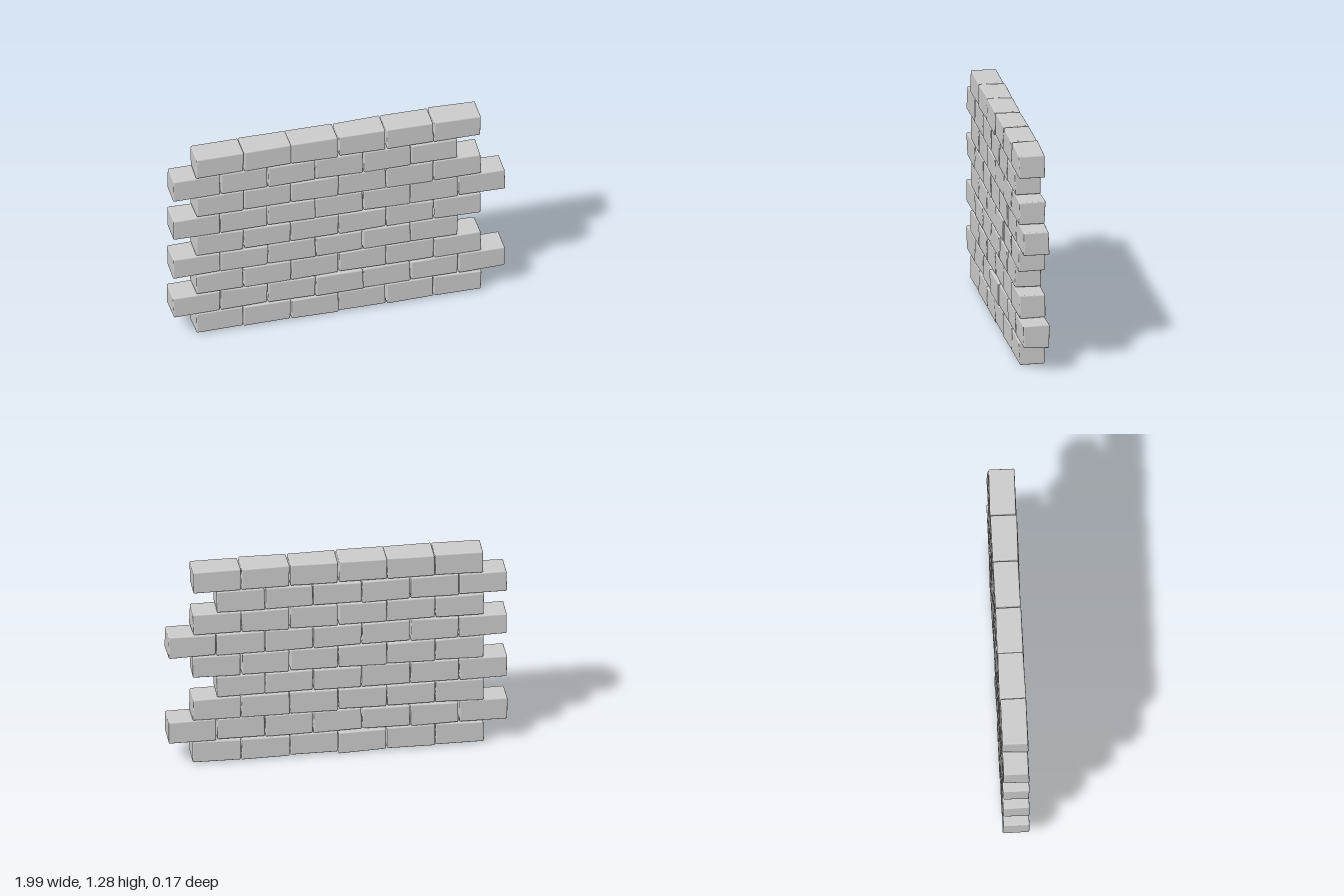
import * as THREE from 'three';
import { RoundedBoxGeometry } from 'three/addons/geometries/RoundedBoxGeometry.js';

const PITCH_X = 0.284, PITCH_Y = 0.1413;
const W = 0.28, H = 0.137, D = 0.152;

// Small seeded generator, returns -1..1
function seeded(seed) {
  let s = seed;
  return () => {
    s = (s * 16807) % 2147483647;
    return (s / 2147483647) * 2 - 1;
  };
}

// Rounded brick whose eight corners are nudged, blended across its volume
function brickGeometry(rand) {
  const geo = new RoundedBoxGeometry(W, H, D, 2, 0.008);
  const corners = Array.from({ length: 8 }, () =>
    new THREE.Vector3(rand() * 0.004, rand() * 0.004, rand() * 0.004));
  const pos = geo.attributes.position;
  const p = new THREE.Vector3(), shift = new THREE.Vector3();
  for (let i = 0; i < pos.count; i++) {
    p.fromBufferAttribute(pos, i);
    const u = p.x / W + 0.5, v = p.y / H + 0.5, w = p.z / D + 0.5;
    shift.set(0, 0, 0);
    corners.forEach((c, k) => {
      const weight = (k & 1 ? u : 1 - u) * (k & 2 ? v : 1 - v) * (k & 4 ? w : 1 - w);
      shift.addScaledVector(c, weight);
    });
    p.add(shift);
    pos.setXYZ(i, p.x, p.y, p.z);
  }
  return geo;
}

export function createModel() {
  const wall = new THREE.Group();
  wall.name = 'brickWall';
  const material = new THREE.MeshStandardMaterial({ color: 0xcccccc });
  const rand = seeded(4711);

  // Nine courses in running bond; two of the shifted ones have a seventh brick
  const counts = [6, 7, 6, 6, 6, 7, 6, 6, 6];
  counts.forEach((count, row) => {
    const course = new THREE.Group();
    course.name = `course${row + 1}`;
    const startX = row % 2 ? -0.998 : -0.86;
    for (let i = 0; i < count; i++) {
      const brick = new THREE.Mesh(brickGeometry(rand), material);
      brick.name = 'brick';
      brick.position.set(startX + (i + 0.5) * PITCH_X, 0.0775 + row * PITCH_Y, -0.005);
      // One brick in the second course sits proud and slightly turned
      if (row === 1 && i === 3) {
        brick.position.z = 0.003;
        brick.rotation.y = 0.02;
      }
      // One brick in the bottom course has settled to the ground
      if (row === 0 && i === 2) brick.position.y = 0.0715;
      course.add(brick);
    }
    wall.add(course);
  });
  return wall;
}
